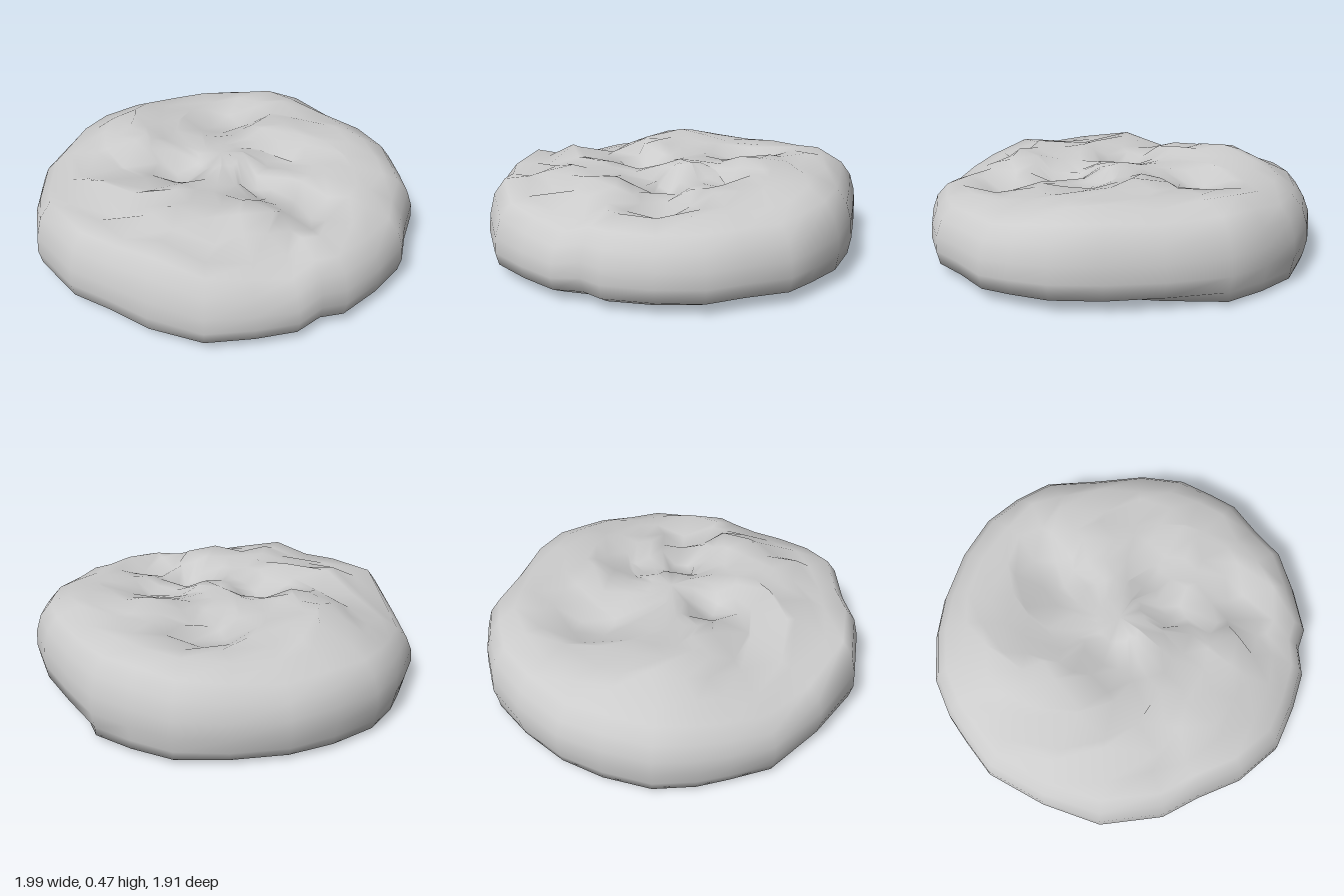
import * as THREE from 'three';

// Plan outline [x, z], running from +x round through +z
const OUTLINE = [
  [1, -0.03], [0.97, 0.18], [0.91, 0.4], [0.83, 0.48], [0.785, 0.61], [0.65, 0.75], [0.48, 0.89], [0.23, 0.955],
  [0, 0.945], [-0.2, 0.955], [-0.5, 0.86], [-0.72, 0.65], [-0.91, 0.4], [-0.96, 0.2], [-0.99, 0.05], [-0.99, -0.15],
  [-0.91, -0.37], [-0.8, -0.56], [-0.62, -0.75], [-0.42, -0.89], [-0.22, -0.94], [-0.02, -0.96], [0.25, -0.87],
  [0.5, -0.78], [0.7, -0.66], [0.82, -0.52], [0.91, -0.4], [0.95, -0.2],
];

// Lumps and hollows of the crust: [x, z, height, radius]
const BUMPS = [
  [-0.65, 0.0, 0.07, 0.16], [-0.55, -0.25, 0.03, 0.15], [-0.38, 0.15, 0.05, 0.13], [0.42, 0.4, 0.07, 0.12],
  [0.15, 0.63, 0.06, 0.13], [-0.32, 0.62, 0.06, 0.11], [0.08, -0.4, 0.07, 0.13], [-0.1, -0.75, 0.04, 0.2],
  [0.08, 0.0, 0.04, 0.12], [0.45, -0.5, 0.035, 0.25], [-0.05, 0.42, 0.04, 0.12],
  [-0.12, 0.2, -0.11, 0.12], [0.28, 0.1, -0.1, 0.13], [0.58, 0.14, -0.11, 0.12], [-0.22, -0.4, -0.1, 0.13],
  [0.25, -0.18, -0.07, 0.1], [-0.45, 0.4, -0.04, 0.12], [0.42, 0.62, -0.07, 0.11], [0.62, 0.52, -0.07, 0.12],
  [0.0, 0.82, -0.03, 0.09], [-0.65, -0.4, -0.03, 0.1],
];

const smooth = THREE.MathUtils.smoothstep;

// The crust falls away towards the front, the +x side and most of all the -x side
function crustHeight(x, z) {
  let y = 0.405 - 0.03 * smooth(z, 0.45, 0.75) - 0.03 * smooth(x, 0.4, 0.75) - 0.06 * smooth(0.45 * z - x, 0.6, 0.85);
  for (const [bx, bz, h, r] of BUMPS) {
    y += h * Math.exp(-((x - bx) ** 2 + (z - bz) ** 2) / (r * r));
  }
  return y;
}

// Crust point, nudged sideways so that the facets are irregular
function crustPoint(x, z, s) {
  const k = 0.035 * Math.sin(Math.PI * s);
  const px = x * s + k * Math.sin(11 * z + 23 * s);
  const pz = z * s + k * Math.cos(12 * x + 31 * s);
  return [px, crustHeight(px, pz), pz];
}

// Side point: the shoulder is fuller at the front and slopes more at the left
function sidePoint(x, z, s, k) {
  const full = 0.1 * smooth(z, 0.6, 0.9) - 0.03 * smooth(-x, 0.5, 0.9);
  const height = k + full * smooth(k, 0.4, 0.85);
  return [x * s, height * crustHeight(x * 0.78, z * 0.78), z * s];
}

// How far the underside is tucked in at the back corner on the +x side
const tuck = (x, z) => 0.13 * smooth(x - z, 0.95, 1.3);

// Lower edge, sharper at the left and back
function edgePoint(x, z) {
  const s = 0.93 + 0.05 * Math.max(smooth(-x, 0.3, 0.9), smooth(-z, 0.3, 0.9)) - tuck(x, z);
  return [x * s, 0.025, z * s];
}

// Underside, slightly uneven
function basePoint(x, z, s) {
  const r = s * (1 - tuck(x, z));
  return [x * r, s > 0.8 ? 0.008 : 0.014 + 0.012 * Math.sin(6 * x * s + 3 * z * s), z * r];
}

export function createModel() {
  const n = OUTLINE.length;

  // Rings: crust from the middle out, then rounded side, then underside
  const rings = [
    ...[0, 0.12, 0.24, 0.36, 0.48, 0.59, 0.7, 0.81].map((s) => ([x, z]) => crustPoint(x, z, s)),
    ...[[0.91, 0.89], [0.965, 0.73], [0.993, 0.53], [1, 0.34], [0.985, 0.16]]
      .map(([s, k]) => ([x, z]) => sidePoint(x, z, s, k)),
    ([x, z]) => edgePoint(x, z),
    ...[0.84, 0.5, 0].map((s) => ([x, z]) => basePoint(x, z, s)),
  ];
  const last = rings.length - 1;

  const positions = [];
  const index = [];
  rings.forEach((ring, i) => OUTLINE.forEach((c, j) => {
    positions.push(...ring(c));
    if (i === last) return;
    const a = i * n + j, b = i * n + ((j + 1) % n);
    // One triangle per column at the two middles, two elsewhere
    if (i === 0) index.push(a, b + n, a + n);
    else if (i === last - 1) index.push(a, b, a + n);
    else index.push(a, b + n, a + n, a, b, b + n);
  }));

  const geometry = new THREE.BufferGeometry();
  geometry.setAttribute('position', new THREE.Float32BufferAttribute(positions, 3));
  geometry.setIndex(index);
  geometry.computeVertexNormals();

  // The points at each middle share one normal
  const normal = geometry.attributes.normal;
  for (let j = 0; j < n; j++) {
    normal.setXYZ(j, 0, 1, 0);
    normal.setXYZ(last * n + j, 0, -1, 0);
  }

  const loaf = new THREE.Mesh(geometry, new THREE.MeshStandardMaterial({ color: 0xcccccc }));
  loaf.name = 'lumpyRoundLoaf';
  const group = new THREE.Group();
  group.name = 'loaf';
  group.add(loaf);
  return group;
}
